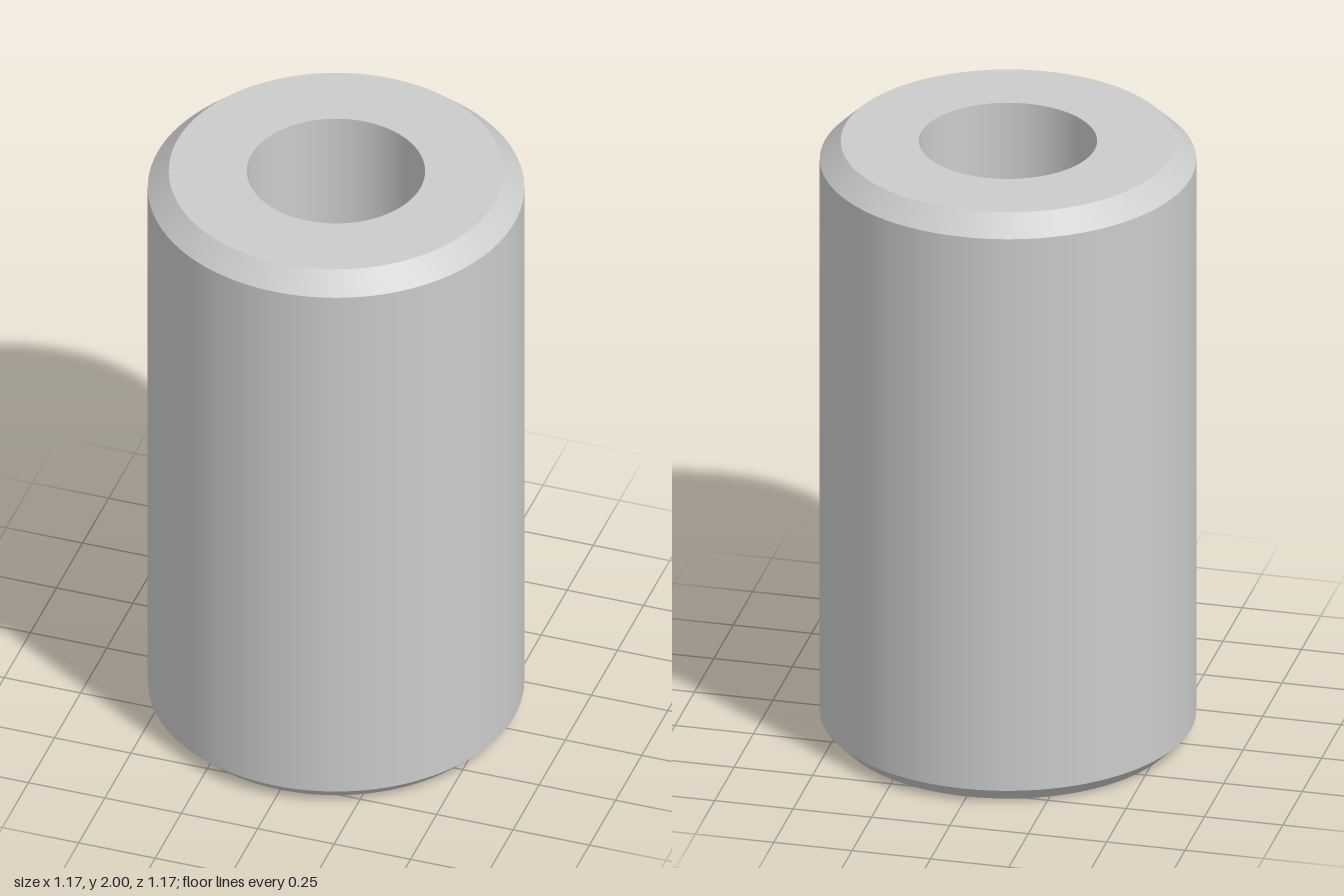
import * as THREE from 'three';
import { mergeGeometries } from 'three/addons/utils/BufferGeometryUtils.js';

const SEGMENTS = 96;

// Revolves each profile edge separately, so edges stay sharp and walls smooth
function revolve(profile) {
  const bands = profile.slice(1).map((end, i) =>
    new THREE.LatheGeometry(
      [new THREE.Vector2(...profile[i]), new THREE.Vector2(...end)], SEGMENTS));
  return mergeGeometries(bands);
}

export function createModel() {
  const group = new THREE.Group();
  group.name = 'bushing';
  const material = new THREE.MeshStandardMaterial({ color: 0xcccccc });

  const addPart = (name, profile) => {
    const mesh = new THREE.Mesh(revolve(profile), material);
    mesh.name = name;
    group.add(mesh);
  };

  const outer = 0.583, top = 0.518, bottom = 0.533;
  const bore = 0.276, counterbore = 0.427, step = 0.195;

  // Outer wall with chamfers and both end faces
  addPart('outerBody', [
    [counterbore, 0], [bottom, 0], [outer, 0.05],
    [outer, 1.938], [top, 2], [bore, 2],
  ]);

  // Through hole, running down to the step
  addPart('bore', [[bore, 2], [bore, step]]);

  // Wider recess in the underside
  addPart('counterbore', [[bore, step], [counterbore, step], [counterbore, 0]]);

  return group;
}
